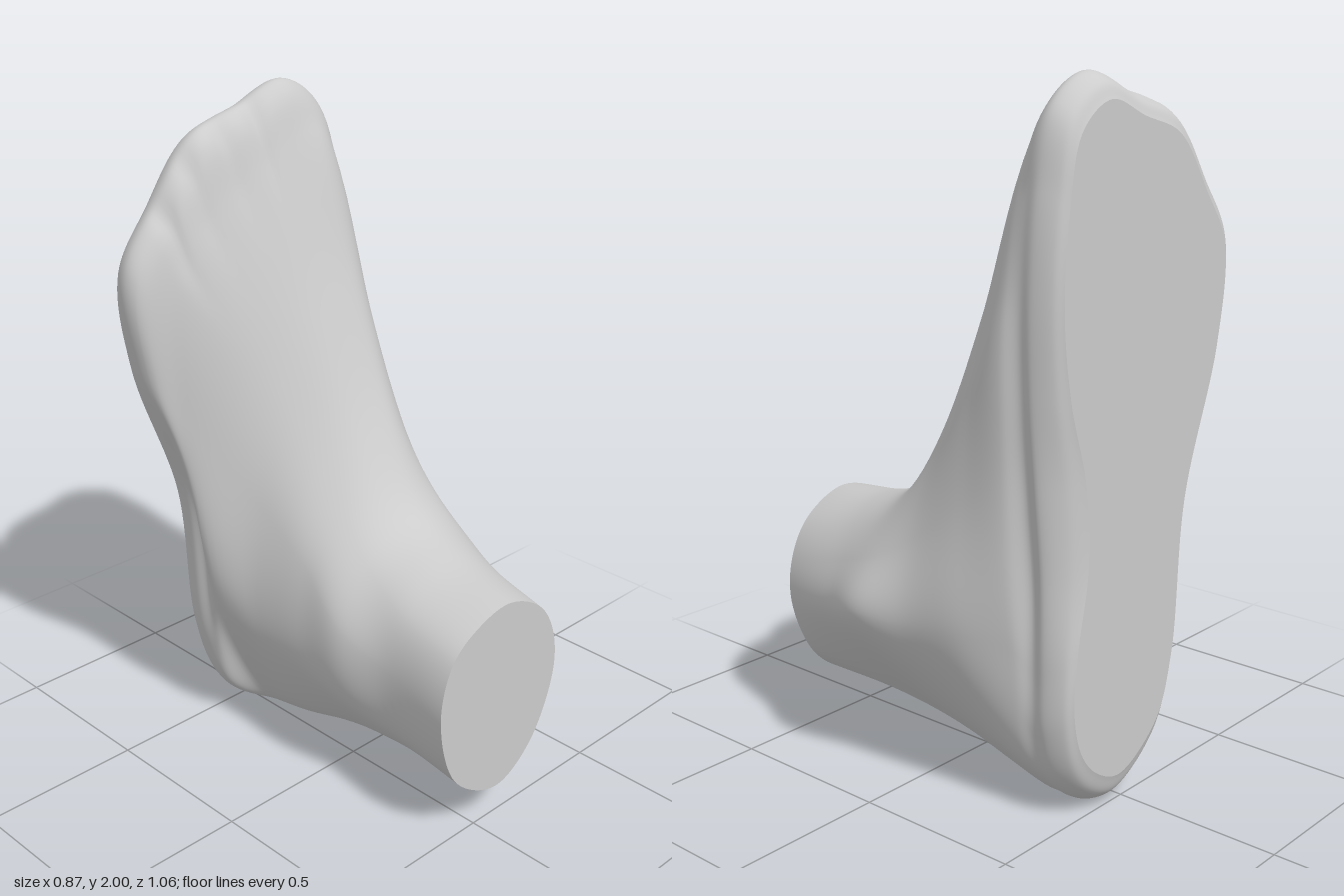
import * as THREE from 'three';

const AROUND = 240, ALONG = 60;

// Closed smooth outline through x,y pairs at height z, resampled evenly per control point.
function outline(z, xy) {
  const pts = [];
  for (let i = 0; i < xy.length; i += 2) pts.push(new THREE.Vector3(xy[i], xy[i + 1], z));
  const curve = new THREE.CatmullRomCurve3(pts, true);
  return Array.from({ length: AROUND }, (_, i) => curve.getPoint(i / AROUND));
}

// Widest outline of the sole, from the heel up the big-toe side and back down.
const SOLE = [
  0.045, 0.003, 0.16, 0.04, 0.245, 0.13, 0.288, 0.27, 0.295, 0.45,
  0.3, 0.7, 0.325, 0.95, 0.35, 1.2, 0.357, 1.45, 0.335, 1.72,
  0.285, 1.92, 0.16, 2.0, 0.0, 1.95, -0.18, 1.89, -0.32, 1.72,
  -0.43, 1.55, -0.405, 1.25, -0.255, 0.8, -0.208, 0.31, -0.135, 0.115,
];

// Sole outline scaled about height cy, with the arch cut in on the big-toe side.
function soleRing(z, sx, sy, cy, arch) {
  const xy = [];
  for (let i = 0; i < SOLE.length; i += 2) {
    const x = SOLE[i], y = SOLE[i + 1];
    const cut = x > 0.2 ? arch * Math.exp(-(((y - 0.85) / 0.35) ** 2)) : 0;
    xy.push(0.04 + (x - 0.04) * sx - cut, cy + (y - cy) * sy);
  }
  return outline(z, xy);
}

// Depth of the grooves between the toes at outline position p (0..10) and height z.
function toeGroove(p, z) {
  let g = 0;
  for (const c of [5.95, 6.3, 6.66, 7.0]) g += Math.exp(-(((p - c) / 0.085) ** 2));
  return 0.026 * g * Math.exp(-(((z + 0.395) / 0.05) ** 2));
}

// Flat cap over a ring of points; dir is the z direction it faces.
function cap(ring, dir, cx, cy, name, material) {
  const pos = [cx, cy, ring[0].z], index = [];
  ring.forEach((v, i) => {
    pos.push(v.x, v.y, v.z);
    const a = i + 1, b = ((i + 1) % ring.length) + 1;
    index.push(0, ...(dir > 0 ? [a, b] : [b, a]));
  });
  const geo = new THREE.BufferGeometry();
  geo.setAttribute('position', new THREE.Float32BufferAttribute(pos, 3));
  geo.setIndex(index);
  geo.computeVertexNormals();
  const mesh = new THREE.Mesh(geo, material);
  mesh.name = name;
  return mesh;
}

export function createModel() {
  const group = new THREE.Group();
  group.name = 'foot';
  const material = new THREE.MeshStandardMaterial({ color: 0xcccccc });

  // Outlines from the sole, over the instep and ankle, to the cut of the leg.
  const layers = [
    soleRing(-0.532, 0.9, 0.92, 1.15, 0.08),
    soleRing(-0.51, 0.96, 0.968, 1.15, 0.035),
    soleRing(-0.455, 1, 1, 1, 0),
    soleRing(-0.41, 0.975, 0.982, 0, 0),
    outline(-0.36, [0.045, 0, 0.25, 0.14, 0.32, 0.5, 0.352, 0.95, 0.355, 1.42,
      0.23, 1.84, 0.02, 1.78, -0.28, 1.56, -0.31, 1.08, -0.2, 0.38]),
    outline(-0.22, [0.045, 0.025, 0.24, 0.17, 0.375, 0.52, 0.36, 0.88, 0.32, 1.22,
      0.22, 1.44, 0.06, 1.4, -0.09, 1.2, -0.18, 0.85, -0.18, 0.38]),
    outline(-0.05, [0.05, 0.07, 0.2, 0.17, 0.397, 0.5, 0.36, 0.75, 0.29, 0.95,
      0.2, 1.065, 0.08, 1.04, -0.04, 0.92, -0.155, 0.7, -0.17, 0.36]),
    outline(0.12, [0.06, 0.1, 0.19, 0.19, 0.432, 0.51, 0.37, 0.66, 0.27, 0.78,
      0.16, 0.83, 0.05, 0.815, -0.07, 0.74, -0.185, 0.57, -0.165, 0.32]),
    outline(0.3, [0.06, 0.115, 0.18, 0.19, 0.365, 0.46, 0.325, 0.6, 0.23, 0.71,
      0.13, 0.752, 0, 0.735, -0.11, 0.66, -0.165, 0.5, -0.12, 0.26]),
    outline(0.532, [0.06, 0.12, 0.2, 0.2, 0.293, 0.4, 0.285, 0.54, 0.22, 0.65,
      0.08, 0.718, -0.05, 0.69, -0.145, 0.62, -0.19, 0.46, -0.12, 0.22]),
  ];

  // Smooth columns through the layers, with the toe grooves pressed in.
  const rings = Array.from({ length: ALONG + 1 }, () => []);
  for (let i = 0; i < AROUND; i++) {
    const column = new THREE.CatmullRomCurve3(layers.map((l) => l[i]));
    for (let j = 0; j <= ALONG; j++) {
      const v = column.getPoint(j / ALONG);
      const inward = new THREE.Vector3(0.05 - v.x, 1 - v.y, 0).normalize();
      rings[j].push(v.addScaledVector(inward, toeGroove((i / AROUND) * 10, v.z)));
    }
  }

  // Skin joining all rings.
  const pos = [], index = [];
  rings.forEach((ring, j) => ring.forEach((v, i) => {
    pos.push(v.x, v.y, v.z);
    if (j === ALONG) return;
    const n = (i + 1) % AROUND;
    const a = j * AROUND + i, b = j * AROUND + n, c = a + AROUND, d = b + AROUND;
    index.push(a, b, d, a, d, c);
  }));
  const skinGeo = new THREE.BufferGeometry();
  skinGeo.setAttribute('position', new THREE.Float32BufferAttribute(pos, 3));
  skinGeo.setIndex(index);
  skinGeo.computeVertexNormals();
  const skin = new THREE.Mesh(skinGeo, material);
  skin.name = 'footAndAnkle';
  group.add(skin);

  // Flat sole and the flat cut of the leg.
  group.add(cap(rings[0], -1, 0.03, 1, 'sole', material));
  group.add(cap(rings[ALONG], 1, 0.05, 0.42, 'legCut', material));
  return group;
}
